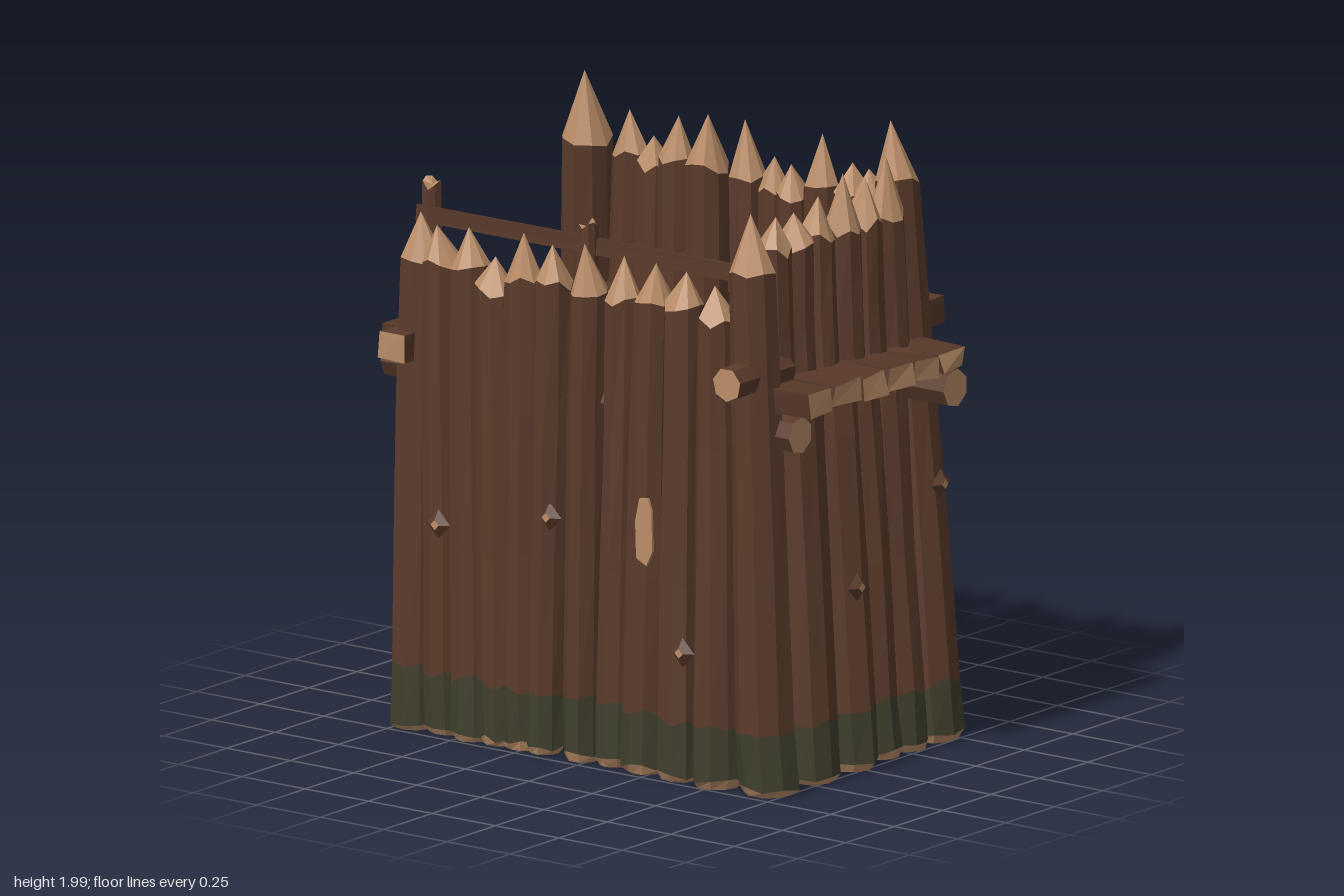
import * as THREE from 'three';

const mat = (name, color) => {
  const m = new THREE.MeshStandardMaterial({ color, flatShading: true });
  m.name = name;
  return m;
};

export function createModel() {
  const wood = mat('brown wood', 0x5b3b2b);
  const moss = mat('mossy wood', 0x403f2d);
  const cut = mat('cut wood', 0xba8d68);
  const plankWood = mat('plank wood', 0x563829);
  const model = new THREE.Group();

  let seed = 7;
  const rnd = () => (seed = (seed * 16807) % 2147483647) / 2147483647;
  const jit = (a) => (rnd() - 0.5) * 2 * a;

  const add = (name, geo, material, parent = model) => {
    const mesh = new THREE.Mesh(geo, material);
    mesh.name = name;
    parent.add(mesh);
    return mesh;
  };

  // Rough log lofted from rings: cut bevelled base, mossy foot, brown trunk, carved point.
  // b and t are [x, z] at the base and at the tip.
  function log(name, b, t, r0, r1, y0, yTip, tipLen, parent, pointed = true) {
    const n = 9, rings = [], yc = yTip - tipLen, foot = y0 < 0.1;
    const ys = foot ? [y0, y0 + 0.025, 0.215, 0.65, 1.1, yc] : [y0, (y0 + yc) / 2, yc];
    const phase = rnd() * 6;
    const wob = Array.from({ length: n }, () => 1 + jit(0.06));
    ys.forEach((y, i) => {
      const f = (y - y0) / (yTip - y0), edge = i === ys.length - 1;
      const r = (r0 + (r1 - r0) * f) * (foot && i === 0 ? 0.8 : 1);
      const cx = b[0] + (t[0] - b[0]) * f + jit(0.004);
      const cz = b[1] + (t[1] - b[1]) * f + jit(0.004);
      const lift = edge || i === 2 ? 0.022 : i === 1 && foot ? 0.012 : 0;
      rings.push(wob.map((w, k) => {
        const a = phase + (k / n) * Math.PI * 2, q = r * (w + jit(0.04));
        return [cx + Math.cos(a) * q, y + jit(lift), cz + Math.sin(a) * q];
      }));
    });
    const apex = pointed ? [t[0] + jit(0.01), yTip, t[1] + jit(0.01)] : [t[0], yc, t[1]];
    rings.push(wob.map(() => apex));
    const pos = [], geo = new THREE.BufferGeometry();
    const group = (start, m) => geo.addGroup(start, pos.length / 3 - start, m);
    for (let k = 0; k < n; k++) pos.push(b[0], y0, b[1], ...rings[0][k], ...rings[0][(k + 1) % n]);
    group(0, 2);
    for (let i = 0; i < rings.length - 1; i++) {
      const start = pos.length / 3, last = i === rings.length - 2;
      for (let k = 0; k < n; k++) {
        const k2 = (k + 1) % n, A = rings[i], B = rings[i + 1];
        pos.push(...A[k], ...B[k], ...A[k2]);
        if (!last) pos.push(...A[k2], ...B[k], ...B[k2]);
      }
      group(start, last || (foot && i === 0) ? 2 : foot && i === 1 ? 1 : 0);
    }
    geo.setAttribute('position', new THREE.Float32BufferAttribute(pos, 3));
    geo.computeVertexNormals();
    return add(name, geo, [wood, moss, cut], parent);
  }

  // Box with corners knocked slightly out of true; ends along one axis can be cut wood
  function plank(name, x0, x1, y0, y1, z0, z1, endAxis = -1, rough = 0.008, main = plankWood) {
    const geo = new THREE.BoxGeometry(x1 - x0, y1 - y0, z1 - z0);
    geo.translate((x0 + x1) / 2, (y0 + y1) / 2, (z0 + z1) / 2);
    const p = geo.attributes.position, moved = {};
    for (let i = 0; i < p.count; i++) {
      const key = [p.getX(i), p.getY(i), p.getZ(i)].map((v) => v.toFixed(3)).join();
      const d = (moved[key] ??= [jit(rough), jit(rough), jit(rough)]);
      p.setXYZ(i, p.getX(i) + d[0], p.getY(i) + d[1], p.getZ(i) + d[2]);
    }
    geo.computeVertexNormals();
    return add(name, geo, [0, 0, 1, 1, 2, 2].map((a) => (a === endAxis ? cut : main)));
  }

  // Round beam between two points with cut ends
  function beam(name, a, b, r) {
    const A = new THREE.Vector3(...a), B = new THREE.Vector3(...b), d = B.clone().sub(A);
    const m = add(name, new THREE.CylinderGeometry(r, r * 1.05, d.length(), 7), [wood, cut, cut]);
    m.position.copy(A).add(B).multiplyScalar(0.5);
    m.quaternion.setFromUnitVectors(new THREE.Vector3(0, 1, 0), d.normalize());
    return m;
  }

  const wall = (name) => {
    const g = new THREE.Group();
    g.name = name;
    model.add(g);
    return g;
  };

  // Front wall: [base x, top x, tip height, base radius]
  const front = wall('frontWall');
  [[-0.58, -0.61, 1.65, 0.07], [-0.465, -0.5, 1.66, 0.066], [-0.36, -0.4, 1.58, 0.064],
    [-0.27, -0.28, 1.68, 0.064], [-0.185, -0.16, 1.66, 0.062], [-0.035, -0.03, 1.68, 0.068],
    [0.085, 0.11, 1.66, 0.068], [0.21, 0.23, 1.66, 0.074], [0.35, 0.35, 1.65, 0.078], [0.5, 0.47, 1.62, 0.088]]
    .forEach(([bx, tx, h, r]) =>
      log('frontLog', [bx, 0.425 + jit(0.012)], [tx, 0.4 + jit(0.01)], r, 0.062, 0.015, h, Math.max(0.1, h - 1.53), front));

  // Back wall
  const back = wall('backWall');
  [[-0.57, -0.49, 1.87, 0.07], [-0.46, -0.4, 1.8, 0.062], [-0.35, -0.31, 1.88, 0.068],
    [-0.225, -0.2, 1.9, 0.076], [-0.04, -0.04, 1.91, 0.074], [0.06, 0.06, 1.8, 0.06],
    [0.15, 0.14, 1.79, 0.06], [0.26, 0.25, 1.91, 0.068], [0.38, 0.37, 1.83, 0.066], [0.5, 0.44, 1.82, 0.074]]
    .forEach(([bx, tx, h, r]) =>
      log('backLog', [bx, -0.46 + jit(0.012)], [tx, -0.435 + jit(0.008)], r, r * 0.88, 0.015, h, Math.max(0.1, h - 1.73), back));

  // Side wall under the platform and the stakes standing above it
  const side = wall('leftWall');
  [[0.195, 0.2, 0.09], [-0.01, 0.01, 0.092], [-0.17, -0.135, 0.068], [-0.3, -0.265, 0.07]]
    .forEach(([bz, tz, r]) => log('sideLog', [0.69, bz], [0.62, tz], r, r * 0.97, 0.015, 1.3, 0, side, false));
  [[0.28, 1.84], [0.17, 1.83], [0.05, 1.86], [-0.08, 1.91], [-0.19, 1.87], [-0.3, 1.92]]
    .forEach(([z, h]) => log('sideStake', [0.625, z], [0.6, z], 0.06, 0.058, 1.22, h, h - 1.73, side));

  // Opposite side: lower wall with one narrow gap closed by a sill
  const gapSide = wall('rightWall');
  [[0.2, 0.2, 0.08], [-0.085, -0.075, 0.062], [-0.2, -0.19, 0.064], [-0.31, -0.3, 0.064]].forEach(([bz, tz, r]) =>
    log('gapSideLog', [-0.69, bz], [-0.63, tz], r, r * 0.94, 0.015, 1.24, 0, gapSide, false));
  plank('gapSill', -0.7, -0.65, 0.11, 0.22, -0.14, 0.16, -1, 0.01, moss);

  // Corner posts
  const corners = wall('cornerPosts');
  log('cornerPost', [-0.7, 0.415], [-0.69, 0.4], 0.08, 0.066, 0.015, 1.68, 0.15, corners);
  log('cornerPost', [0.68, 0.4], [0.61, 0.4], 0.1, 0.076, 0.015, 1.88, 0.2, corners);
  log('cornerPost', [-0.69, -0.455], [-0.63, -0.37], 0.095, 0.078, 0.015, 1.99, 0.23, corners);
  log('cornerPost', [0.675, -0.455], [0.54, -0.42], 0.102, 0.07, 0.015, 2.0, 0.18, corners);

  // Beams carrying the platform
  beam('frontCarrier', [-0.84, 1.175, 0.355], [0.77, 1.175, 0.355], 0.06);
  beam('backCarrier', [-0.82, 1.18, -0.36], [0.835, 1.19, -0.36], 0.062);
  beam('crossBeam', [0.635, 1.36, 0.28], [0.635, 1.36, 0.56], 0.055);
  plank('crossBeam', -0.77, -0.67, 1.215, 1.3, 0.25, 0.51, 2, 0.007, wood);

  // Platform: long boards in the middle, short boards sticking out at both sides
  const xs = [-0.52, -0.42, -0.285, -0.15, -0.02, 0.11, 0.24, 0.365, 0.56];
  xs.slice(1).forEach((x, i) => plank('floorBoard', xs[i] - 0.002, x + 0.002, 1.24, 1.285 + jit(0.01), -0.42, 0.38, 2, 0.003));
  for (let i = 0; i < 6; i++) {
    const z = -0.43 + i * 0.141;
    plank('sideBoard', -0.84 + jit(0.006), -0.5, 1.23, 1.3, z, z + 0.13, 0, 0.009);
    plank('sideBoard', 0.38, 0.835 + jit(0.008), 1.25, 1.315 + i * 0.004, z + 0.012, z + 0.135, 0, 0.01);
  }

  // Board nailed across the back, tilted slightly
  const board = plank('backBoard', -0.62, 0.64, 1.33, 1.41, -0.565, -0.46, -1, 0.008);
  board.rotation.z = 0.006;

  // Handrail behind the front stakes
  plank('handrail', -0.77, 0.56, 1.625, 1.67, 0.29, 0.325, -1, 0.006);
  [[-0.725, 0.3, 1.74], [-0.09, 0.325, 1.71]].forEach(([x, z, h]) =>
    log('railPost', [x, z], [x, z], 0.034, 0.032, 1.25, h, 0, model, false));
  plank('railFoot', -0.775, -0.67, 1.29, 1.39, 0.25, 0.36, -1, 0.008, wood);

  // Stripped bark patches
  const chip = new THREE.Shape([[-0.03, -0.09], [0.01, -0.11], [0.034, -0.06], [0.03, 0.07], [0.016, 0.11], [-0.018, 0.105], [-0.034, 0.03]]
    .map((p) => new THREE.Vector2(...p)));
  const chipGeo = new THREE.ExtrudeGeometry(chip, { depth: 0.009, bevelEnabled: false });
  add('frontBarkPatch', chipGeo, cut).position.set(0.255, 0.81, 0.482);
  const backChip = add('backBarkPatch', chipGeo, cut);
  backChip.position.set(-0.285, 0.82, -0.519);
  backChip.rotation.y = Math.PI;

  // Branch stubs
  [[-0.57, 0.7, 0.481, 0], [-0.14, 0.79, 0.47, 0], [0.4, 0.44, 0.491, 0],
    [0.748, 0.61, 0.02, 1], [0.732, 0.85, -0.43, 1]].forEach(([x, y, z, onSide]) => {
    const knot = add('knot', new THREE.CylinderGeometry(0.016, 0.048, 0.02, 4), [wood, cut, wood]);
    knot.position.set(x, y, z);
    if (onSide) knot.rotation.z = -Math.PI / 2;
    else knot.rotation.x = Math.PI / 2;
  });

  return model;
}
